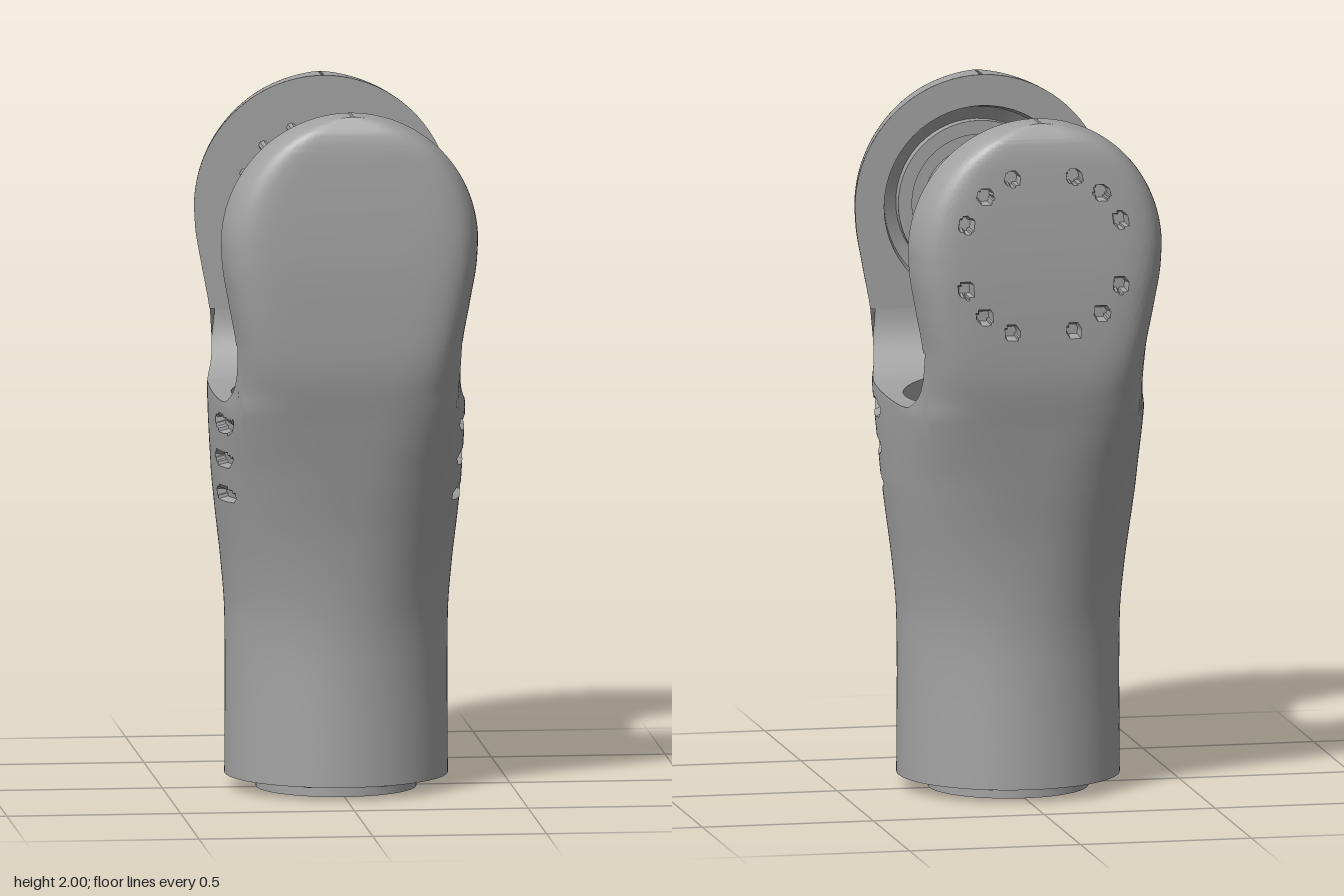
import * as THREE from 'three';
import { toCreasedNormals } from 'three/addons/utils/BufferGeometryUtils.js';

const grey = new THREE.MeshStandardMaterial({ color: 0xa3a3a3, side: THREE.DoubleSide });
grey.name = 'grey plastic';

const FACE = 0.365;   // inner face of each fork arm, distance from centre
const JOIN = 1.33;    // height where the arms leave the body
const HUB = 1.625;    // height of the joint axis
const BORE = 0.3;
const SLOT = 0.055;   // half width of the cable groove

// smooth curve through [y, value] pairs
function curve(pts) {
  const slope = (i) => {
    const a = pts[Math.max(0, i - 1)], b = pts[Math.min(pts.length - 1, i + 1)];
    return (b[1] - a[1]) / (b[0] - a[0]);
  };
  return (y) => {
    let i = 0;
    while (i < pts.length - 2 && y > pts[i + 1][0]) i++;
    const [y0, p0] = pts[i], [y1, p1] = pts[i + 1], h = y1 - y0;
    const t = THREE.MathUtils.clamp((y - y0) / h, 0, 1), t2 = t * t, t3 = t2 * t;
    return p0 * (2 * t3 - 3 * t2 + 1) + slope(i) * h * (t3 - 2 * t2 + t)
      + p1 * (3 * t2 - 2 * t3) + slope(i + 1) * h * (t3 - t2);
  };
}

// half width, half depth and squareness of the section at each height
const widthLow = curve([[0, 0.32], [0.5, 0.32], [0.65, 0.33], [0.8, 0.345], [0.92, 0.354],
  [1.13, 0.354], [1.2, 0.34], [1.33, 0.335], [1.45, 0.353], [1.55, 0.37], [HUB, 0.375]]);
const halfWidth = (y) => y < HUB ? widthLow(y)
  : Math.max(0.004, Math.sqrt(Math.max(0, 0.375 ** 2 - (y - HUB) ** 2)));
const halfDepth = curve([[0, 0.32], [0.4, 0.32], [0.55, 0.33], [0.75, 0.36], [0.93, 0.4], [1.1, 0.44],
  [1.25, 0.475], [1.4, 0.49], [1.6, 0.498], [1.85, 0.492], [1.95, 0.48], [2, 0.45]]);
const squareness = curve([[0, 2], [0.5, 2], [0.8, 2.4], [1, 3], [1.2, 4.5], [1.4, 7], [2, 8]]);

function section(y, phi) {
  const n = squareness(y), c = Math.cos(phi), s = Math.sin(phi);
  const r = (Math.abs(c / halfWidth(y)) ** n + Math.abs(s / halfDepth(y)) ** n) ** (-1 / n);
  return [r * c, r * s];
}
const faceWidth = (y) => {
  const n = squareness(y);
  return halfWidth(y) * (1 - (FACE / halfDepth(y)) ** n) ** (1 / n);
};

// height of the rounded fork bottom
function saddle(z) {
  const a = Math.min(Math.abs(z), FACE), t = Math.max(0, (a - 0.215) / 0.15);
  return 1.14 + 0.02 * (a / FACE) ** 2 + 0.17 * (1 - Math.sqrt(Math.max(0, 1 - t * t)));
}
function bodyTop(phi) {
  let lo = 1.1, hi = JOIN;
  for (let i = 0; i < 30; i++) {
    const y = (lo + hi) / 2;
    if (y < saddle(section(y, phi)[1])) lo = y; else hi = y;
  }
  return hi;
}

// surface from a rule f(u, v) -> [x, y, z]; skip leaves quads open
function grid(nu, nv, f, skip) {
  const pos = [], index = [];
  for (let j = 0; j <= nv; j++) for (let i = 0; i <= nu; i++) pos.push(...f(i / nu, j / nv));
  for (let j = 0; j < nv; j++) for (let i = 0; i < nu; i++) {
    if (skip && skip((i + 0.5) / nu)) continue;
    const a = j * (nu + 1) + i, b = a + 1, c = a + nu + 1, d = c + 1;
    index.push(a, c, b, b, c, d);
  }
  const g = new THREE.BufferGeometry();
  g.setAttribute('position', new THREE.Float32BufferAttribute(pos, 3));
  g.setIndex(index);
  return g;
}
const lathe = (pts) => new THREE.LatheGeometry(pts.map(([r, y]) => new THREE.Vector2(r, y)), 56);

export function createModel() {
  const model = new THREE.Group();
  const add = (name, geo, x = 0, y = 0, z = 0) => {
    const m = new THREE.Mesh(toCreasedNormals(geo, 0.6), grey);
    m.name = name;
    m.position.set(x, y, z);
    model.add(m);
    return m;
  };

  // outer sleeve with three vents pressed into each side
  const vents = [[1.08, 0.19, 0.1], [0.975, 0.16, 0.08], [0.87, 0.15, 0.07]];
  const N = 160, tops = Array.from({ length: N + 1 }, (_, i) => bodyTop(i / N * Math.PI * 2));
  add('sleeve', grid(N, 120, (u, v) => {
    const phi = u * Math.PI * 2, y = 0.04 + (tops[Math.round(u * N)] - 0.04) * v;
    let [x, z] = section(y, phi);
    for (const [vy, vz, len] of vents)
      if (((y - vy) / 0.02) ** 2 + ((z - vz) / len) ** 2 < 1) x -= Math.sign(x) * 0.025;
    return [x, y, z];
  }));

  // fork bottom and bore, both open at the cable groove
  const inGroove = (phi) => Math.sin(phi) < 0 && Math.abs(BORE * Math.cos(phi)) < SLOT;
  add('forkBottom', grid(N, 10, (u, v) => {
    const phi = u * Math.PI * 2, [x, z] = section(tops[Math.round(u * N)], phi);
    const outer = Math.min(Math.hypot(x, z), FACE / Math.max(1e-6, Math.abs(Math.sin(phi))));
    const r = BORE + (outer - BORE) * (1 - (1 - v) ** 2);
    return [r * Math.cos(phi), saddle(r * Math.sin(phi)), r * Math.sin(phi)];
  }, (u) => inGroove(u * Math.PI * 2)));
  add('bore', grid(N, 1, (u, v) => {
    const phi = u * Math.PI * 2, x = BORE * Math.cos(phi), z = BORE * Math.sin(phi);
    return [x, v ? (inGroove(phi) ? 0.98 : saddle(z)) : 0.12, z];
  }));

  // floor, centre ring, through hole and foot
  add('floorAndFoot', lathe([[0.3, 0.12], [0.125, 0.12], [0.125, 0.15], [0.085, 0.15], [0.085, 0.13],
    [0.07, 0.13], [0.07, 0], [0.23, 0], [0.23, 0.04], [0.32, 0.04]]));
  for (let i = 0; i < 8; i++) {
    const a = (i + 0.5) * Math.PI / 4;
    add('footScrew', new THREE.CylinderGeometry(0.018, 0.018, 0.008, 6), 0.275 * Math.cos(a), 0.038, 0.275 * Math.sin(a));
  }
  for (const [x, z] of [[-0.18, 0.125], [-0.125, 0.175]])
    add('floorTab', new THREE.BoxGeometry(0.06, 0.006, 0.11), x, 0.123, z).rotation.y = -Math.PI / 4;

  // twelve pin positions around the joint axis
  const pins = [];
  for (const [x, y] of [[0.09, 0.225], [0.17, 0.175], [0.225, 0.095]])
    for (const sx of [1, -1]) for (const sy of [1, -1]) pins.push([sx * x, HUB + sy * y]);

  // arm shells; the back one has screw pockets
  const arm = (name, side, nu, nv) => add(name, grid(nu, nv, (u, v) => {
    const y = JOIN + (2 - JOIN) * Math.sin(v * Math.PI / 2);
    const start = Math.atan2(FACE, faceWidth(y));
    let [x, z] = section(y, start + (Math.PI - 2 * start) * u);
    if (side < 0 && pins.some((p) => Math.hypot(x - p[0], y - p[1]) < 0.021)) z -= 0.03;
    return [x, y, z * side];
  }));
  arm('frontArm', 1, 64, 60);
  arm('backArm', -1, 120, 110);

  // flat inner faces
  const rim = [];
  for (let i = 0; i <= 40; i++) {
    const y = JOIN + (2 - JOIN) * Math.sin(i / 40 * Math.PI / 2);
    rim.push([faceWidth(y), y]);
  }
  const outline = [...rim, ...rim.slice().reverse().map(([x, y]) => [-x, y])]
    .map(([x, y]) => new THREE.Vector2(x, y));
  const frontFace = new THREE.Shape(outline);
  frontFace.holes.push(new THREE.Path().absarc(0, HUB, 0.285, 0, Math.PI * 2, true));
  add('frontArmFace', new THREE.ShapeGeometry(frontFace, 28), 0, 0, FACE);

  const key = Math.acos(SLOT / 0.19), keyPts = [];
  for (let i = 0; i <= 48; i++) {
    const a = -Math.PI + key - i / 48 * (2 * Math.PI - (Math.PI - 2 * key));
    keyPts.push(new THREE.Vector2(0.19 * Math.cos(a), HUB + 0.19 * Math.sin(a)));
  }
  const backFace = new THREE.Shape([...outline, new THREE.Vector2(-SLOT, JOIN), ...keyPts,
    new THREE.Vector2(SLOT, JOIN)]);
  add('backArmFace', new THREE.ShapeGeometry(backFace), 0, 0, -FACE);

  // round recesses of the joint
  const bowl = lathe([[0.285, 0.365], [0.275, 0.41], [0.235, 0.44], [0.235, 0.405], [0.195, 0.405],
    [0.195, 0.445], [0.15, 0.445], [0.15, 0.41], [0.115, 0.41], [0.115, 0.45], [0, 0.45]]);
  add('frontBowl', bowl.rotateX(Math.PI / 2), 0, HUB);
  const seat = lathe([[0.19, 0.365], [0.19, 0.395], [0.155, 0.395], [0.155, 0.42], [0, 0.42]]);
  add('backSeat', seat.rotateX(-Math.PI / 2), 0, HUB);

  // pins on the back arm
  for (const [x, y] of pins)
    add('pin', new THREE.CylinderGeometry(0.014, 0.014, 0.12, 8).rotateX(Math.PI / 2), x, y, -0.32);

  // sloping cable groove from the back seat down to the bore
  add('grooveRamp', grid(1, 1, (u, v) => [(u * 2 - 1) * SLOT, 0.98 + 0.47 * v, -0.295 - 0.12 * v]));
  const cheek = [[-0.295, 0.98]];
  for (let i = 0; i <= 10; i++) {
    const z = -0.295 - 0.07 * Math.sin(i / 10 * Math.PI / 2);
    cheek.push([z, saddle(z)]);
  }
  cheek.push([-FACE, 1.45], [-0.415, 1.45]);
  for (const s of [-1, 1]) {
    const g = new THREE.ShapeGeometry(new THREE.Shape(cheek.map(([z, y]) => new THREE.Vector2(-z, y))));
    add('grooveCheek', g.rotateY(Math.PI / 2), s * SLOT, 0, 0);
  }

  // clamp bar and its strap below the front arm
  add('clampBar', new THREE.BoxGeometry(0.24, 0.1, 0.04), 0, 1.11, 0.277);
  for (const x of [-0.07, 0.07])
    add('clampScrew', new THREE.CylinderGeometry(0.014, 0.014, 0.008, 8).rotateX(Math.PI / 2), x, 1.11, 0.256);
  add('clampStrap', new THREE.BoxGeometry(0.09, 0.2, 0.02), 0, 1.235, 0.332).rotation.x = 0.36;
  add('strapPost', new THREE.BoxGeometry(0.05, 0.19, 0.04), 0, 1.42, 0.39);
  return model;
}
